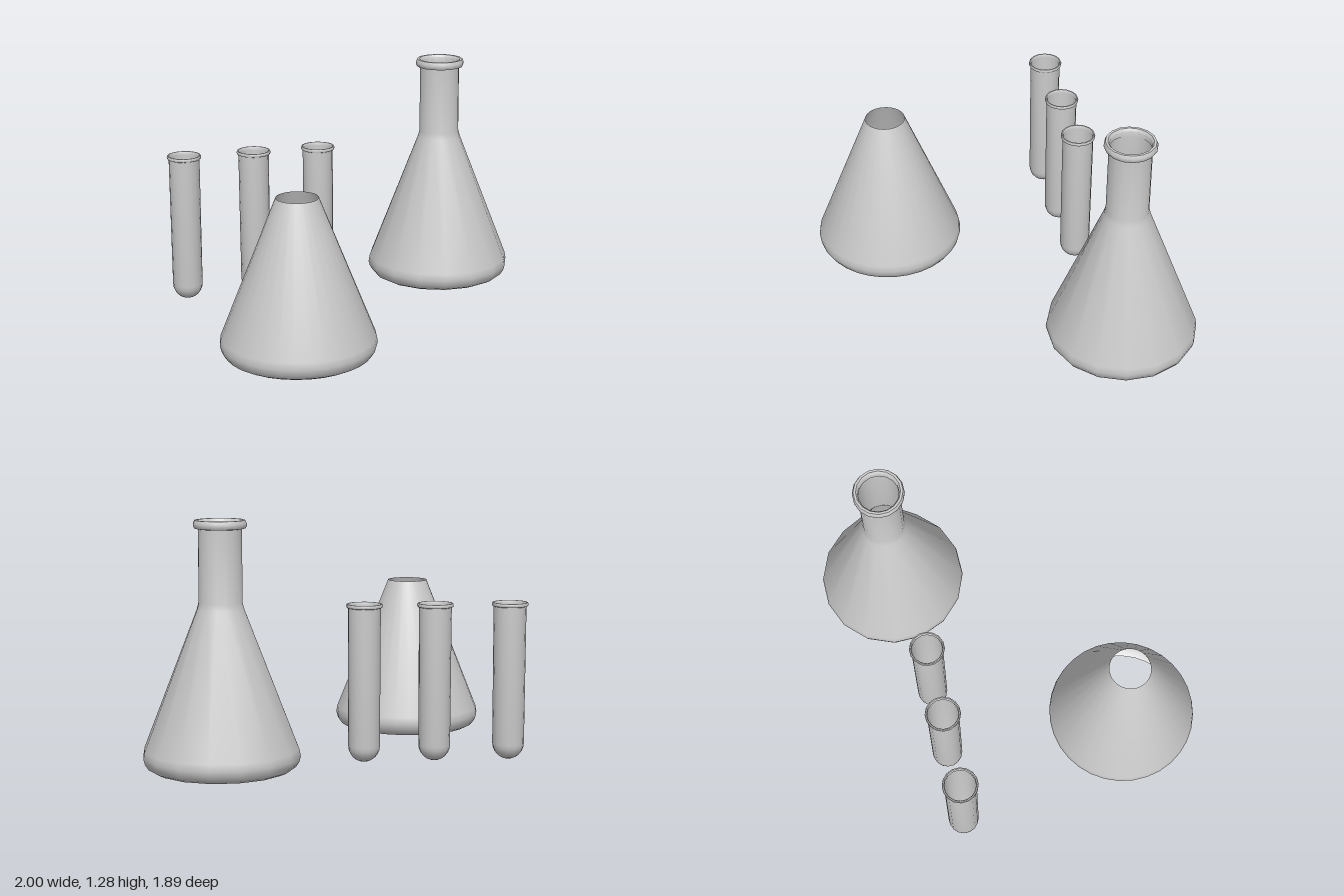
import * as THREE from 'three';
import { toCreasedNormals } from 'three/addons/utils/BufferGeometryUtils.js';

const material = new THREE.MeshStandardMaterial({ color: 0xcccccc, side: THREE.DoubleSide });

// Turns a [radius, height] profile into a named mesh standing at x, z.
function turned(name, profile, sides, x, z) {
  const points = profile.map(([r, y]) => new THREE.Vector2(r, y));
  const geometry = new THREE.LatheGeometry(points, sides, Math.PI / sides);
  const mesh = new THREE.Mesh(toCreasedNormals(geometry, 0.65), material);
  mesh.name = name;
  mesh.position.set(x, 0, z);
  return mesh;
}

// Rounded foot and sloping wall shared by the flask and the open cone
const foot = [[0.355, 0], [0.382, 0.014], [0.4, 0.04], [0.408, 0.07], [0.402, 0.105]];

// Quarter-circle profile for a test tube's round bottom
function roundBottom(radius, steps) {
  const points = [];
  for (let i = 0; i <= steps; i++) {
    const a = (i / steps) * Math.PI / 2;
    points.push([radius * Math.sin(a), 0.004 + radius * (1 - Math.cos(a))]);
  }
  return points;
}

export function createModel() {
  const group = new THREE.Group();
  group.name = 'labGlassware';

  // Conical flask: closed base, straight neck, rolled lip
  const flask = new THREE.Group();
  flask.name = 'conicalFlask';
  flask.add(turned('flaskBody', [
    [0, 0], ...foot, [0.122, 0.825], [0.113, 0.86], [0.112, 1.24],
  ], 16, 0.6, -0.548));
  flask.add(turned('flaskLip', [
    [0.112, 1.233], [0.13, 1.236], [0.137, 1.248], [0.137, 1.262], [0.13, 1.278],
    [0.117, 1.278], [0.108, 1.265], [0.107, 1.235],
  ], 16, 0.6, -0.548));
  group.add(flask);

  // Thin conical shell, open at both ends
  group.add(turned('openCone', [...foot, [0.11, 0.842]], 32, -0.513, 0.532));

  // Row of three test tubes, each with a flared lip
  for (const x of [-0.906, -0.513, -0.143]) {
    const tube = new THREE.Group();
    tube.name = 'testTube';
    tube.add(turned('tubeBody', [...roundBottom(0.083, 6), [0.085, 0.82]], 16, x, -0.48));
    tube.add(turned('tubeLip', [
      [0.085, 0.812], [0.093, 0.815], [0.095, 0.824], [0.092, 0.833],
      [0.086, 0.833], [0.082, 0.826], [0.082, 0.812],
    ], 16, x, -0.48));
    group.add(tube);
  }
  return group;
}
